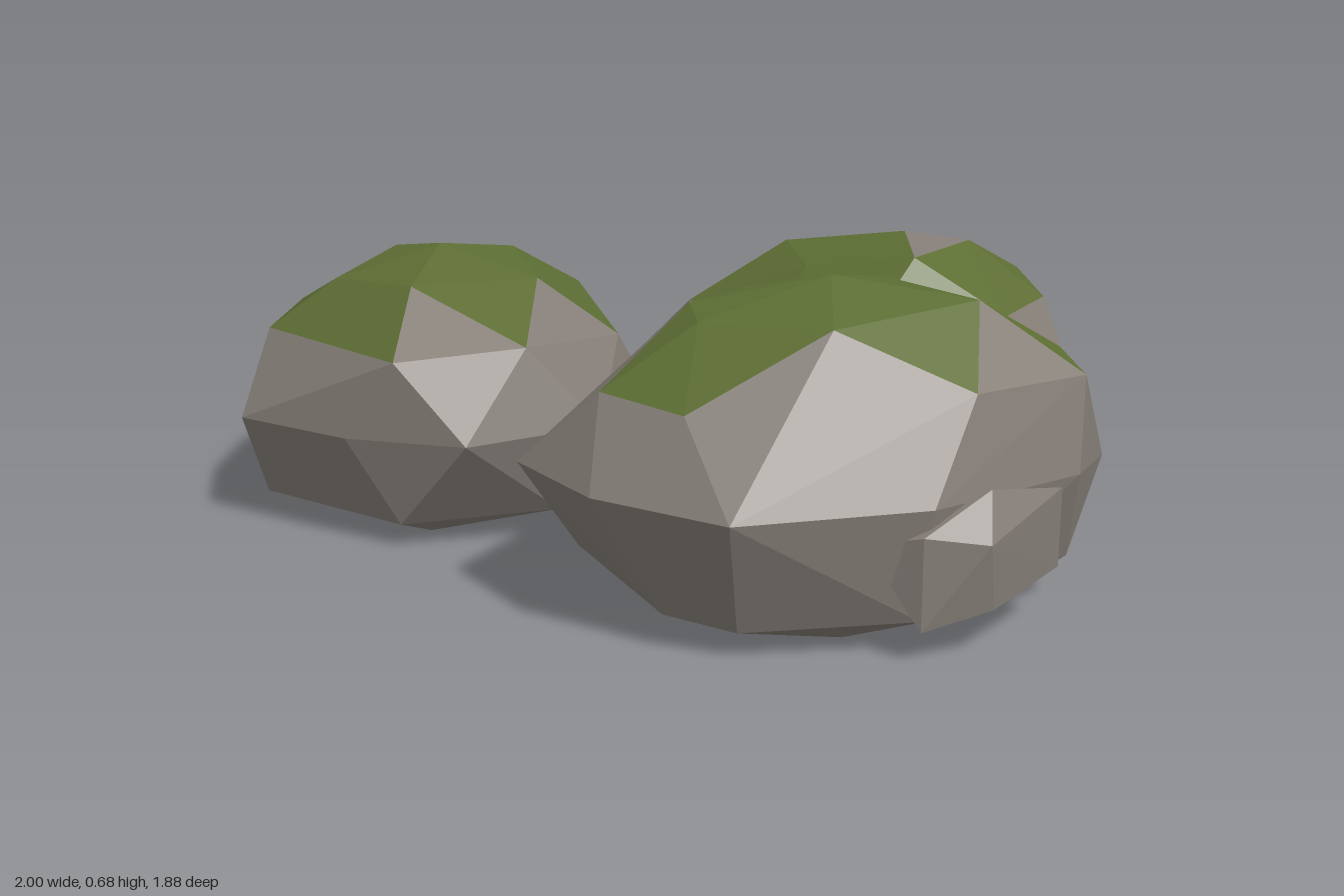
import * as THREE from 'three';
import { ConvexGeometry } from 'three/addons/geometries/ConvexGeometry.js';

const stone = new THREE.MeshStandardMaterial({ color: 0x857e77, flatShading: true });
stone.name = 'grey stone';
const moss = new THREE.MeshStandardMaterial({ color: 0x5d6e34, flatShading: true });
moss.name = 'green moss';

// Faceted boulder: hull of corner points [x, y, z]. Facets above mossLine are
// moss, except those centred inside a bare spot [x, z, radius].
function boulder(name, points, mossLine, bare = []) {
  const hull = new ConvexGeometry(points.map((p) => new THREE.Vector3(...p)));
  const pos = hull.getAttribute('position');
  const faces = [[], []];
  const v = new THREE.Vector3();
  for (let i = 0; i < pos.count; i += 3) {
    const c = new THREE.Vector3();
    const tri = [];
    for (let k = 0; k < 3; k++) {
      v.fromBufferAttribute(pos, i + k);
      c.addScaledVector(v, 1 / 3);
      tri.push(v.x, v.y, v.z);
    }
    const isBare = bare.some(([x, z, r]) => Math.hypot(c.x - x, c.z - z) < r);
    faces[c.y > mossLine && !isBare ? 1 : 0].push(...tri);
  }
  const geo = new THREE.BufferGeometry();
  geo.setAttribute('position', new THREE.Float32BufferAttribute([...faces[0], ...faces[1]], 3));
  geo.addGroup(0, faces[0].length / 3, 0);
  geo.addGroup(faces[0].length / 3, faces[1].length / 3, 1);
  geo.computeVertexNormals();
  const mesh = new THREE.Mesh(geo, [stone, moss]);
  mesh.name = name;
  return mesh;
}

export function createModel() {
  const group = new THREE.Group();
  group.name = 'mossyBoulders';

  group.add(boulder('leftBoulder', [
    // crown
    [-0.53, 0.62, -0.2], [-0.28, 0.56, -0.1], [-0.39, 0.58, -0.4], [-0.68, 0.58, -0.38],
    [-0.76, 0.55, -0.1], [-0.54, 0.57, 0.08],
    // shoulder
    [-0.91, 0.45, -0.33], [-0.91, 0.44, -0.04], [-0.76, 0.45, -0.52], [-0.52, 0.46, -0.61],
    [-0.25, 0.46, -0.57], [-0.09, 0.43, -0.1], [-0.26, 0.46, 0.19], [-0.54, 0.44, 0.28],
    // waist
    [-0.33, 0.28, -0.74], [-0.66, 0.27, -0.64], [-0.91, 0.28, -0.47], [-0.99, 0.27, -0.3],
    [-0.94, 0.26, 0.11], [-0.66, 0.26, 0.26], [-0.37, 0.27, 0.34], [-0.1, 0.27, 0.13],
    [-0.03, 0.28, -0.19], [-0.13, 0.3, -0.46],
    // foot
    [-1, 0.09, -0.34], [-0.9, 0.07, 0.06], [-0.54, 0.06, 0.25], [-0.2, 0.07, 0.13],
    [-0.08, 0.1, -0.2], [-0.25, 0.07, -0.58], [-0.6, 0.07, -0.58],
    [-0.77, 0.015, -0.3], [-0.7, 0.015, 0.04], [-0.5, 0.005, 0.12], [-0.27, 0.01, -0.05],
    [-0.35, 0.01, -0.42], [-0.6, 0.01, -0.46],
  ], 0.455, [[-0.7, -0.47, 0.07], [-0.45, 0.2, 0.08], [-0.16, 0, 0.06]]));

  group.add(boulder('backBoulder', [
    // crown
    [0.58, 0.61, -0.54], [0.28, 0.56, -0.66], [0.58, 0.56, -0.73], [0.74, 0.59, -0.54],
    [0.6, 0.585, -0.31], [0.34, 0.54, -0.42],
    // shoulder
    [0.04, 0.42, -0.55], [0.13, 0.43, -0.75], [0.38, 0.42, -0.85], [0.63, 0.42, -0.85],
    [0.88, 0.48, -0.77], [0.93, 0.45, -0.54], [0.82, 0.45, -0.29], [0.5, 0.45, -0.18],
    [0.26, 0.42, -0.28],
    // waist
    [-0.09, 0.27, -0.69], [0.2, 0.26, -0.87], [0.5, 0.26, -0.94], [0.82, 0.26, -0.9],
    [0.98, 0.28, -0.66], [1, 0.27, -0.41], [0.65, 0.26, -0.16], [0.5, 0.28, -0.13],
    [0.24, 0.26, -0.24], [0.02, 0.28, -0.43],
    // foot
    [0.1, 0.07, -0.7], [0.48, 0.08, -0.86], [0.8, 0.08, -0.8], [0.92, 0.09, -0.48],
    [0.6, 0.07, -0.2], [0.22, 0.07, -0.32], [0.28, 0.015, -0.6], [0.5, 0.01, -0.72],
    [0.74, 0.015, -0.62], [0.7, 0.01, -0.38], [0.4, 0.01, -0.36],
  ], 0.44, [[0.48, -0.645, 0.06], [0.63, -0.6, 0.05], [0.64, -0.46, 0.06]]));

  group.add(boulder('frontBoulder', [
    // crown
    [0.41, 0.685, 0.42], [0.12, 0.62, 0.42], [0.22, 0.62, 0.24], [0.52, 0.64, 0.2],
    [0.71, 0.64, 0.43], [0.42, 0.62, 0.65], [0.15, 0.61, 0.56],
    // shoulder
    [-0.04, 0.48, 0.63], [-0.02, 0.48, 0.4], [0.11, 0.49, 0.15], [0.38, 0.52, 0],
    [0.64, 0.51, 0.04], [0.9, 0.49, 0.18], [0.93, 0.49, 0.43], [0.7, 0.5, 0.65],
    [0.43, 0.46, 0.76], [0.14, 0.47, 0.76],
    // waist
    [-0.22, 0.31, 0.56], [-0.06, 0.3, 0.25], [0.2, 0.31, 0], [0.5, 0.3, -0.01],
    [0.82, 0.3, 0.06], [0.99, 0.28, 0.28], [0.92, 0.3, 0.5], [0.62, 0.31, 0.8],
    [0.24, 0.31, 0.94], [-0.04, 0.31, 0.79],
    // foot
    [-0.1, 0.12, 0.52], [0.1, 0.07, 0.77], [0.25, 0.06, 0.83], [0.6, 0.07, 0.76],
    [0.91, 0.1, 0.42], [0.8, 0.08, 0.14], [0.4, 0.08, 0.05], [0.1, 0.1, 0.22],
    [0.22, 0.015, 0.6], [0.45, 0.005, 0.69], [0.7, 0.01, 0.55], [0.7, 0.01, 0.25],
    [0.3, 0.015, 0.28],
  ], 0.505, [[0.14, 0.25, 0.1], [0.77, 0.52, 0.08]]));

  // lumps breaking out of the front boulder
  group.add(boulder('backLump', [
    [0.27, 0.36, -0.01], [0.51, 0.38, -0.1], [0.76, 0.36, -0.09], [0.86, 0.34, 0.06],
    [0.64, 0.46, 0], [0.3, 0.4, 0.15], [0.8, 0.42, 0.15], [0.5, 0.22, -0.11],
    [0.76, 0.2, -0.1], [0.72, 0.06, -0.09], [0.42, 0.05, -0.03], [0.88, 0.1, 0.1],
    [0.28, 0.1, 0.12], [0.5, 0.01, 0.2], [0.78, 0.02, 0.2],
  ], 0.395, [[0.45, 0.05, 0.12], [0.79, 0.06, 0.1]]));
  group.add(boulder('frontLump', [
    [0.49, 0.23, 0.78], [0.6, 0.26, 0.82], [0.73, 0.33, 0.72], [0.73, 0.24, 0.79],
    [0.88, 0.29, 0.56], [0.6, 0.07, 0.82], [0.74, 0.1, 0.76], [0.88, 0.12, 0.55],
    [0.6, 0.15, 0.5],
  ], 1));
  return group;
}
